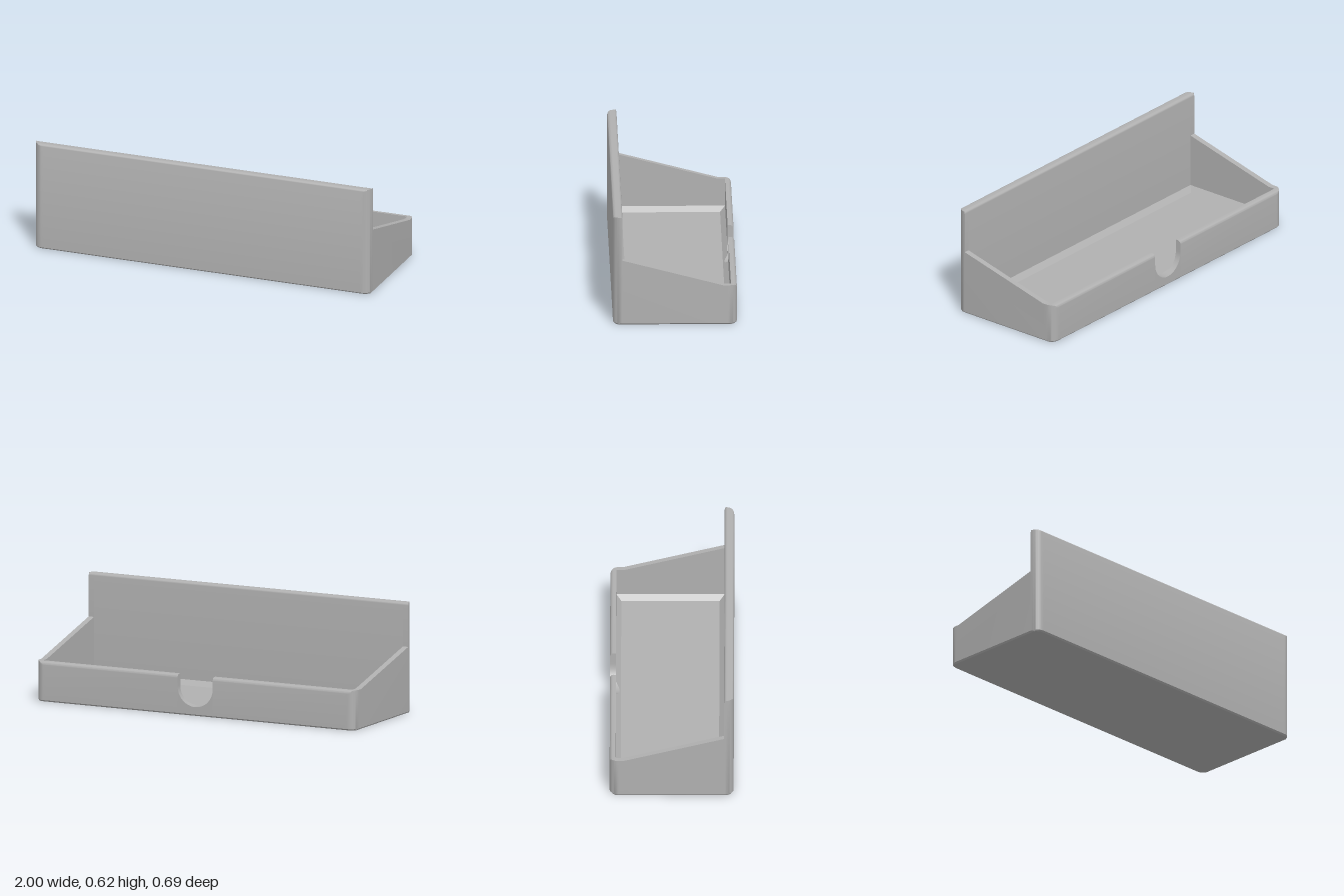
import * as THREE from 'three';
import { toCreasedNormals } from 'three/addons/utils/BufferGeometryUtils.js';

const DEPTH = 0.343, CORNER = 0.05, BEVEL = 0.008;
const WALL_X = 0.967, FLOOR_X = 0.939;            // cavity ends, floor ends
const LIP_Z = -0.31, PANEL_Z = 0.29, COVE = 0.028; // cavity sides, floor chamfer
const FLOOR_Y = 0.042, COVE_Y = FLOOR_Y + COVE;
const LIP_Y = 0.226, SLOPE_Z = -0.27, SLOPE_Y = 0.372, PANEL_Y = 0.62;
const NOTCH_R = 0.11, NOTCH_Y = 0.16;

// points of a quarter round, from angle a to b
function arc(z, y, r, a, b, n = 6) {
  return Array.from({ length: n + 1 }, (_, i) => {
    const t = a + (b - a) * i / n;
    return [z + r * Math.cos(t), y + r * Math.sin(t)];
  });
}

// closed side profile [z, y] at one station across the width
function section({ x, cavity, notch }) {
  const ax = Math.abs(x);
  const over = Math.max(0, ax - (1 - CORNER));
  const edge = DEPTH - CORNER + Math.sqrt(Math.max(0, CORNER * CORNER - over * over));
  const base = Math.max(0, ax - (1 - BEVEL));
  const cut = notch ? NOTCH_Y - Math.sqrt(Math.max(0, NOTCH_R * NOTCH_R - x * x)) : Infinity;
  const P = Math.PI;

  // low lip with its rounded outer edge, lowered inside the notch
  const lip = [[-DEPTH, BEVEL], ...arc(-DEPTH + 0.02, LIP_Y - 0.02, 0.02, P, P / 2)]
    .map(([z, y]) => [z, Math.min(y, cut)]);
  const lipIn = LIP_Z + Math.max(0, COVE_Y - cut);
  lip.push([lipIn, Math.min(LIP_Y, cut)]);

  // floor with chamfered edges, or the sloping top of a side wall
  const slope = z => LIP_Y + Math.max(0, z - SLOPE_Z) / (PANEL_Z - SLOPE_Z) * (SLOPE_Y - LIP_Y);
  const s = ax >= WALL_X ? 0 : 1;
  const fy = s ? FLOOR_Y : COVE_Y;
  const inner = [
    [lipIn, Math.min(COVE_Y, cut)], [LIP_Z + COVE * s, fy], [SLOPE_Z, fy],
    [PANEL_Z - COVE * s, fy], [PANEL_Z, COVE_Y],
  ].map(([z, y]) => [z, cavity ? y : slope(z)]);

  // tall panel with both top edges rounded
  const r = 0.016;
  const panel = [
    ...arc(PANEL_Z + r, PANEL_Y - r, r, P, P / 2),
    ...arc(DEPTH - r, PANEL_Y - r, r, P / 2, 0),
    [DEPTH, BEVEL],
  ];
  const bottom = [[DEPTH - BEVEL + base, base], [-DEPTH + BEVEL - base, base]];

  const inset = BEVEL - base;
  return [
    ...[...lip, ...inner, ...panel].map(([z, y]) => [THREE.MathUtils.clamp(z, -edge, edge), y]),
    ...bottom.map(([z, y]) => [Math.sign(z) * Math.min(Math.abs(z), edge - inset), y]),
  ];
}

// stations from the middle to one end; doubled ones make upright faces
function halfStations() {
  const list = [];
  for (let i = 0; i <= 16; i++) {
    list.push({ x: NOTCH_R * Math.sin(i / 16 * Math.PI / 2), cavity: true, notch: true });
  }
  list.push({ x: NOTCH_R, cavity: true }, { x: FLOOR_X, cavity: true });
  const angles = Array.from({ length: 13 }, (_, i) => 1 - CORNER + CORNER * Math.sin(i / 12 * Math.PI / 2));
  const xs = [...angles, 1 - BEVEL].sort((a, b) => a - b);
  for (const x of xs.filter(v => v < WALL_X - 1e-4)) list.push({ x, cavity: true, cove: true });
  list.push({ x: WALL_X, cavity: true }, { x: WALL_X, cavity: false });
  for (const x of xs.filter(v => v > WALL_X + 1e-4)) list.push({ x, cavity: false });
  return list;
}

// floor-edge chamfer along the short ends: slide the floor points up with x
function shaped(st) {
  const pts = section(st);
  if (st.cove) {
    const t = (st.x === 0 ? 0 : (Math.abs(st.x) - FLOOR_X) / (WALL_X - FLOOR_X));
    const a = section({ x: Math.sign(st.x) * FLOOR_X, cavity: true });
    const b = section({ x: Math.sign(st.x) * WALL_X, cavity: true });
    for (let j = 9; j < 14; j++) {
      pts[j] = [0, 1].map(k => a[j][k] + (b[j][k] - a[j][k]) * t);
    }
  }
  return pts.map(([z, y]) => new THREE.Vector3(st.x, y, z));
}

function trayGeometry() {
  const half = halfStations();
  const stations = [...half.slice(1).reverse().map(s => ({ ...s, x: -s.x })), ...half];
  const rings = stations.map(shaped);
  const out = [];
  const n1 = new THREE.Vector3(), n2 = new THREE.Vector3();
  const tri = (a, b, c) => {
    n1.subVectors(b, a).cross(n2.subVectors(c, a));
    if (n1.length() > 1e-9) out.push(a, b, c);
  };
  for (let i = 0; i < rings.length - 1; i++) {
    const p = rings[i], q = rings[i + 1];
    for (let j = 0; j < p.length; j++) {
      const k = (j + 1) % p.length;
      tri(p[j], p[k], q[j]);
      tri(p[k], q[k], q[j]);
    }
  }
  // flat ends
  for (const [ring, side] of [[rings[0], -1], [rings[rings.length - 1], 1]]) {
    const flat = ring.map(p => new THREE.Vector2(p.z, p.y));
    for (const [a, b, c] of THREE.ShapeUtils.triangulateShape(flat, [])) {
      const area = THREE.ShapeUtils.area([flat[a], flat[b], flat[c]]);
      if (area * side < 0) tri(ring[a], ring[b], ring[c]);
      else tri(ring[a], ring[c], ring[b]);
    }
  }
  return toCreasedNormals(new THREE.BufferGeometry().setFromPoints(out), 0.5);
}

export function createModel() {
  const group = new THREE.Group();
  group.name = 'cardHolder';
  const grey = new THREE.MeshStandardMaterial({ color: 0xb0b0b0 });
  grey.name = 'grey';
  const tray = new THREE.Mesh(trayGeometry(), grey);
  tray.name = 'tray';
  group.add(tray);
  return group;
}
